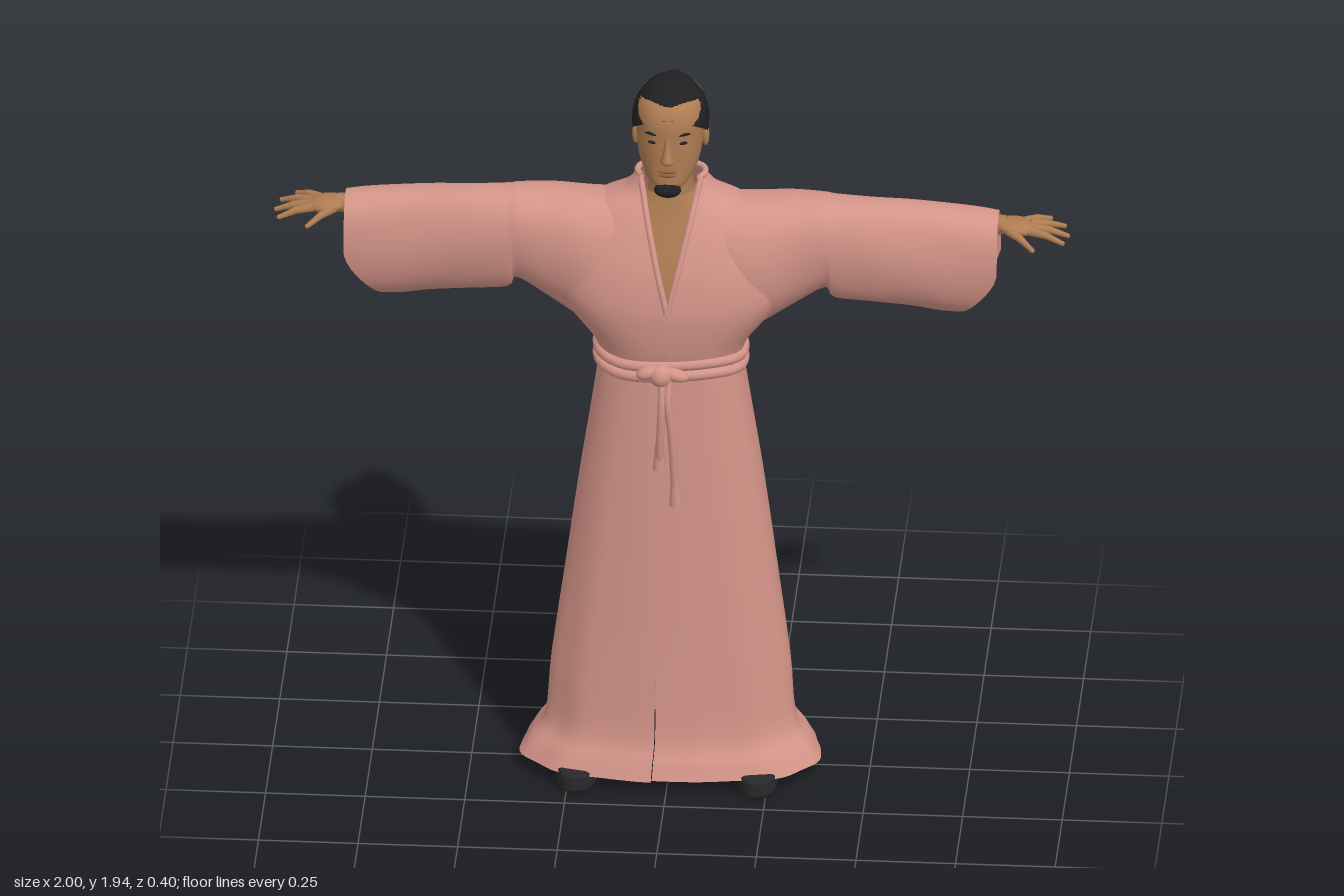
import * as THREE from 'three';

const mat = (name, color, side = THREE.FrontSide) => {
  const m = new THREE.MeshStandardMaterial({ color, side });
  m.name = name;
  return m;
};
const V = (x, y, z) => new THREE.Vector3(x, y, z);

// Smoothly resample a table of section parameters.
function smooth(rows, steps = 4) {
  const out = [], last = rows.length - 1;
  const row = i => rows[Math.min(Math.max(i, 0), last)];
  for (let i = 0; i < last; i++) for (let s = 0; s < steps; s++) {
    const t = s / steps;
    out.push(row(i).map((p1, k) => {
      const p0 = row(i - 1)[k], p2 = row(i + 1)[k], p3 = row(i + 2)[k];
      return p1 + 0.5 * t * (p2 - p0 + t * (2 * p0 - 5 * p1 + 4 * p2 - p3 + t * (3 * (p1 - p2) + p3 - p0)));
    }));
  }
  out.push(rows[last]);
  return out;
}

// Point of a rounded-square section: t = 0 points forwards.
const pw = (v, n) => Math.sign(v) * Math.abs(v) ** (2 / n);
const around = (t, n) => [pw(Math.sin(t), n), pw(Math.cos(t), n)];

// Skin a stack of rings; point(row, u) gives a vertex, u runs 0..1 around.
function loft(rows, point, seg = 32, closed = true) {
  const pos = [], idx = [], cols = closed ? seg : seg + 1;
  for (const r of rows) for (let j = 0; j < cols; j++) pos.push(...point(r, j / seg).toArray());
  for (let i = 0; i < rows.length - 1; i++) for (let j = 0; j < seg; j++) {
    const a = i * cols + j, b = i * cols + (j + 1) % cols;
    idx.push(a, b, b + cols, a, b + cols, a + cols);
  }
  const g = new THREE.BufferGeometry();
  g.setAttribute('position', new THREE.Float32BufferAttribute(pos, 3));
  g.setIndex(idx);
  g.computeVertexNormals();
  return g;
}

// Upright section, row = [y, halfWidth, frontZ, backZ].
function section([y, w, f, b], t, n = 2.3, k = 1) {
  const [sx, sz] = around(t, n);
  return V(w * sx * k, y, (f + b) / 2 + (f - b) / 2 * sz * k);
}
const upright = (rows, n, seg) => loft(smooth(rows), (r, u) => section(r, u * Math.PI * 2, n), seg);

export function createModel() {
  const robe = mat('robe pink', 0xd49488, THREE.DoubleSide);
  const skin = mat('skin', 0xae7c52);
  const lip = mat('lips', 0x8f5f42);
  const hair = mat('black hair', 0x202022);
  const shoe = mat('shoe black', 0x29292b);

  const model = new THREE.Group();
  const add = (name, geo, material) => {
    const m = new THREE.Mesh(geo, material);
    m.name = name;
    model.add(m);
    return m;
  };
  const blob = (name, material, p, r, rotZ = 0) => {
    const m = add(name, new THREE.SphereGeometry(1, 20, 14), material);
    m.position.set(...p);
    m.scale.set(...r);
    m.rotation.z = rotZ;
  };
  const tube = (name, pts, r, material, closed = false) =>
    add(name, new THREE.TubeGeometry(new THREE.CatmullRomCurve3(pts, closed), 48, r, 10, closed), material);
  const limb = (name, a, b, ra, rb, material) => {
    const m = add(name, new THREE.CylinderGeometry(rb, ra, a.distanceTo(b), 12), material);
    m.position.copy(a).lerp(b, 0.5);
    m.quaternion.setFromUnitVectors(V(0, 1, 0), b.clone().sub(a).normalize());
  };

  // Skirt: soft folds and one front edge wrapped over the other.
  const skirtRows = smooth([
    [0.04, 0.375, 0.19, -0.19], [0.08, 0.35, 0.175, -0.185], [0.14, 0.312, 0.152, -0.178],
    [0.3, 0.298, 0.143, -0.182], [0.55, 0.265, 0.135, -0.185], [0.8, 0.232, 0.128, -0.172],
    [1.0, 0.202, 0.122, -0.15], [1.12, 0.185, 0.118, -0.128], [1.18, 0.178, 0.115, -0.118]]);
  add('skirt', loft(skirtRows, (r, u) => {
    const t = u * Math.PI * 2, fall = Math.max(0, 1.1 - r[0]);
    const lap = 0.05 * Math.max(0, (u - 0.88) / 0.12);
    return section(r, t - 0.04, 2.7, 1 + lap + 0.016 * fall * Math.sin(t * 9 + 1));
  }, 96, false), robe);

  // Bodice: open at the front in a V.
  const bodiceRows = smooth([
    [1.16, 0.178, 0.118, -0.12], [1.22, 0.196, 0.135, -0.142], [1.3, 0.26, 0.145, -0.165],
    [1.36, 0.29, 0.144, -0.168], [1.44, 0.29, 0.13, -0.166], [1.52, 0.26, 0.1, -0.15],
    [1.58, 0.2, 0.07, -0.122], [1.62, 0.12, 0.045, -0.095], [1.665, 0.085, 0.03, -0.07]]);
  const gap = r => Math.asin(Math.min(0.85, Math.max(0, (r[0] - 1.34) * 0.235 / r[1])) ** 1.2);
  add('bodice', loft(bodiceRows, (r, u) => {
    const a = gap(r);
    return section(r, a + u * (Math.PI * 2 - 2 * a), 2.4);
  }, 64, false), robe);
  for (const s of [-1, 1]) {
    const edge = bodiceRows.filter(r => r[0] > 1.33).map(r => section(r, s * gap(r), 2.4));
    tube('collarEdge', edge, 0.008, robe);
  }
  tube('backCollar', Array.from({ length: 17 }, (_, i) => {
    const r = bodiceRows.at(-1), a = gap(r);
    return section(r, a + i / 16 * (Math.PI * 2 - 2 * a), 2.4);
  }), 0.008, robe);
  add('chest', upright([[1.28, 0.17, 0.125, -0.05], [1.36, 0.18, 0.128, -0.05], [1.44, 0.17, 0.112, -0.06],
    [1.52, 0.14, 0.084, -0.06], [1.58, 0.1, 0.062, -0.06], [1.63, 0.06, 0.05, -0.055]], 2.4), skin);

  // Sleeves: [x, topY, bottomY, frontZ, backZ, cuff slant].
  const sleeveRows = smooth([
    [0.1, 1.6, 1.2, 0.1, -0.14, 0], [0.2, 1.597, 1.235, 0.105, -0.15, 0], [0.3, 1.6, 1.295, 0.08, -0.142, 0],
    [0.385, 1.602, 1.35, 0.066, -0.115, 0], [0.41, 1.6, 1.322, 0.063, -0.11, 0], [0.5, 1.597, 1.312, 0.055, -0.1, 0],
    [0.6, 1.587, 1.297, 0.044, -0.115, 0], [0.7, 1.575, 1.283, 0.038, -0.125, 0.04],
    [0.77, 1.568, 1.28, 0.036, -0.123, 0.08], [0.82, 1.562, 1.28, 0.034, -0.115, 0.1]]);
  for (const s of [-1, 1]) {
    add(s > 0 ? 'leftSleeve' : 'rightSleeve', loft(sleeveRows, ([x, top, bot, f, b, slant], u) => {
      const t = u * Math.PI * 2, [sy, sz] = around(t, 2.4);
      const fold = 1 + 0.02 * Math.sin(t * 4 + x * 14) * Math.min(1, x * 2);
      const lean = Math.max(0, -sy) ** 1.5 * slant;
      const y = (top + bot) / 2 + (top - bot) / 2 * sy;
      return V(s * (x - lean), y, (f + b) / 2 + (f - b) / 2 * sz * fold - 0.015 * Math.max(0, -sy));
    }, 48), robe);

    // Arm, palm and spread fingers.
    limb('forearm', V(s * 0.6, 1.53, -0.03), V(s * 0.84, 1.536, -0.03), 0.038, 0.024, skin);
    blob('palm', skin, [s * 0.865, 1.533, -0.03], [0.052, 0.019, 0.042], -s * 0.1);
    const fingers = [
      [0.885, -0.06, 0.945, 1.518, -0.105], [0.9, -0.045, 0.982, 1.512, -0.078],
      [0.905, -0.026, 0.993, 1.508, -0.034], [0.9, -0.006, 0.983, 1.51, 0.012], [0.845, -0.005, 0.91, 1.505, 0.046]];
    for (const [kx, kz, tx, ty, tz] of fingers) {
      const a = V(s * kx, 1.532, kz), c = V(s * tx, ty, tz), b = a.clone().lerp(c, 0.5).add(V(0, 0.005, 0));
      limb('finger', a, b, 0.012, 0.0095, skin);
      limb('fingertip', b, c, 0.0095, 0.006, skin);
      for (const [p, r] of [[b, 0.0095], [c, 0.0065]]) blob('fingerJoint', skin, p.toArray(), [r, r, r]);
    }

    // Leg, foot and shoe.
    limb('shin', V(s * 0.215, 0.06, -0.03), V(s * 0.19, 0.4, -0.03), 0.033, 0.05, skin);
    blob('foot', skin, [s * 0.222, 0.05, 0.04], [0.045, 0.035, 0.12]);
    const sole = add('shoe', loft(smooth([[0, 0.001], [0.001, 0.9], [0.012, 1], [0.04, 1], [0.052, 0.9], [0.056, 0.001]], 2),
      ([y, k], u) => {
        const [sx, sz] = around(u * Math.PI * 2, 2.5);
        return V(sx * k * (0.05 + 0.008 * sz), Math.max(0, y), sz * k * 0.145);
      }), shoe);
    sole.position.set(s * 0.222, 0, 0.055);
    sole.rotation.y = s * 0.06;
  }

  // Rope belt with a knot and two hanging tails.
  for (const [y, k] of [[1.155, 1.02], [1.185, 1.02]])
    tube('belt', Array.from({ length: 24 }, (_, i) => {
      const t = i / 24 * Math.PI * 2;
      return section([y + 0.006 * Math.sin(t * 3), 0.178, 0.122, -0.124], t, 2.5, k);
    }), 0.015, robe, true);
  blob('knot', robe, [-0.015, 1.165, 0.142], [0.03, 0.03, 0.026]);
  blob('knotLoop', robe, [-0.045, 1.172, 0.138], [0.035, 0.018, 0.02], 0.3);
  blob('knotLoop', robe, [0.02, 1.168, 0.138], [0.035, 0.018, 0.02], -0.3);
  for (const [x0, x1, y1] of [[-0.012, -0.02, 0.9], [0.004, 0.022, 0.8]]) {
    tube('beltTail', [V(x0, 1.16, 0.145), V(x0, 1.09, 0.162), V((x0 + x1) / 2, 1.0, 0.158), V(x1, y1, 0.14)], 0.01, robe);
    limb('tailEnd', V(x1, y1, 0.14), V(x1 * 0.9, y1 + 0.09, 0.146), 0.016, 0.009, robe);
  }

  // Neck and head.
  add('neck', upright([[1.55, 0.075, 0.055, -0.065], [1.62, 0.06, 0.052, -0.06], [1.68, 0.053, 0.055, -0.055],
    [1.76, 0.055, 0.06, -0.06]], 2.1), skin);
  add('head', upright([[1.672, 0.002, 0.1, 0.09], [1.678, 0.03, 0.122, 0.04], [1.7, 0.054, 0.13, 0.0],
    [1.735, 0.073, 0.128, -0.05], [1.78, 0.083, 0.128, -0.08], [1.82, 0.087, 0.126, -0.095],
    [1.87, 0.087, 0.122, -0.095], [1.91, 0.066, 0.095, -0.075], [1.93, 0.002, 0.02, 0.01]], 2.2), skin);
  add('nose', upright([[1.757, 0.004, 0.135, 0.11], [1.765, 0.019, 0.148, 0.1], [1.775, 0.016, 0.155, 0.1],
    [1.8, 0.01, 0.142, 0.1], [1.83, 0.008, 0.13, 0.1]], 2, 16), skin);
  for (const s of [-1, 1]) {
    blob('ear', skin, [s * 0.088, 1.785, 0.01], [0.009, 0.03, 0.018]);
    blob('eye', hair, [s * 0.036, 1.815, 0.1165], [0.014, 0.0045, 0.005], s * 0.1);
    blob('eyebrow', hair, [s * 0.038, 1.838, 0.1155], [0.02, 0.0035, 0.006], s * 0.2);
  }
  blob('upperLip', lip, [0, 1.738, 0.128], [0.025, 0.005, 0.006]);
  blob('lowerLip', lip, [0, 1.728, 0.128], [0.021, 0.006, 0.007]);
  blob('goatee', hair, [0, 1.684, 0.122], [0.034, 0.02, 0.022]);

  // Hair cap: hairline drops from forehead to nape.
  add('hairCap', loft(Array.from({ length: 17 }, (_, i) => [1 - i / 16]), ([v], u) => {
    const t = u * Math.PI * 2, back = (1 - Math.cos(t)) / 2;
    const th = Math.max(0.001, v) * (1.15 + 1.35 * back ** 0.9);
    return V(0.097 * Math.sin(th) * Math.sin(t), 1.83 + 0.115 * Math.cos(th), 0.01 + 0.12 * Math.sin(th) * Math.cos(t));
  }, 40), hair);

  // Ponytail tied high at the back.
  blob('hairTie', hair, [0, 1.87, -0.115], [0.024, 0.024, 0.026]);
  add('ponytail', upright([[1.535, 0.002, -0.15, -0.156], [1.56, 0.014, -0.137, -0.168], [1.62, 0.027, -0.126, -0.186],
    [1.7, 0.036, -0.12, -0.2], [1.78, 0.038, -0.112, -0.192], [1.84, 0.031, -0.105, -0.172],
    [1.88, 0.022, -0.1, -0.147], [1.895, 0.002, -0.115, -0.12]], 2, 20), hair);

  return model;
}
